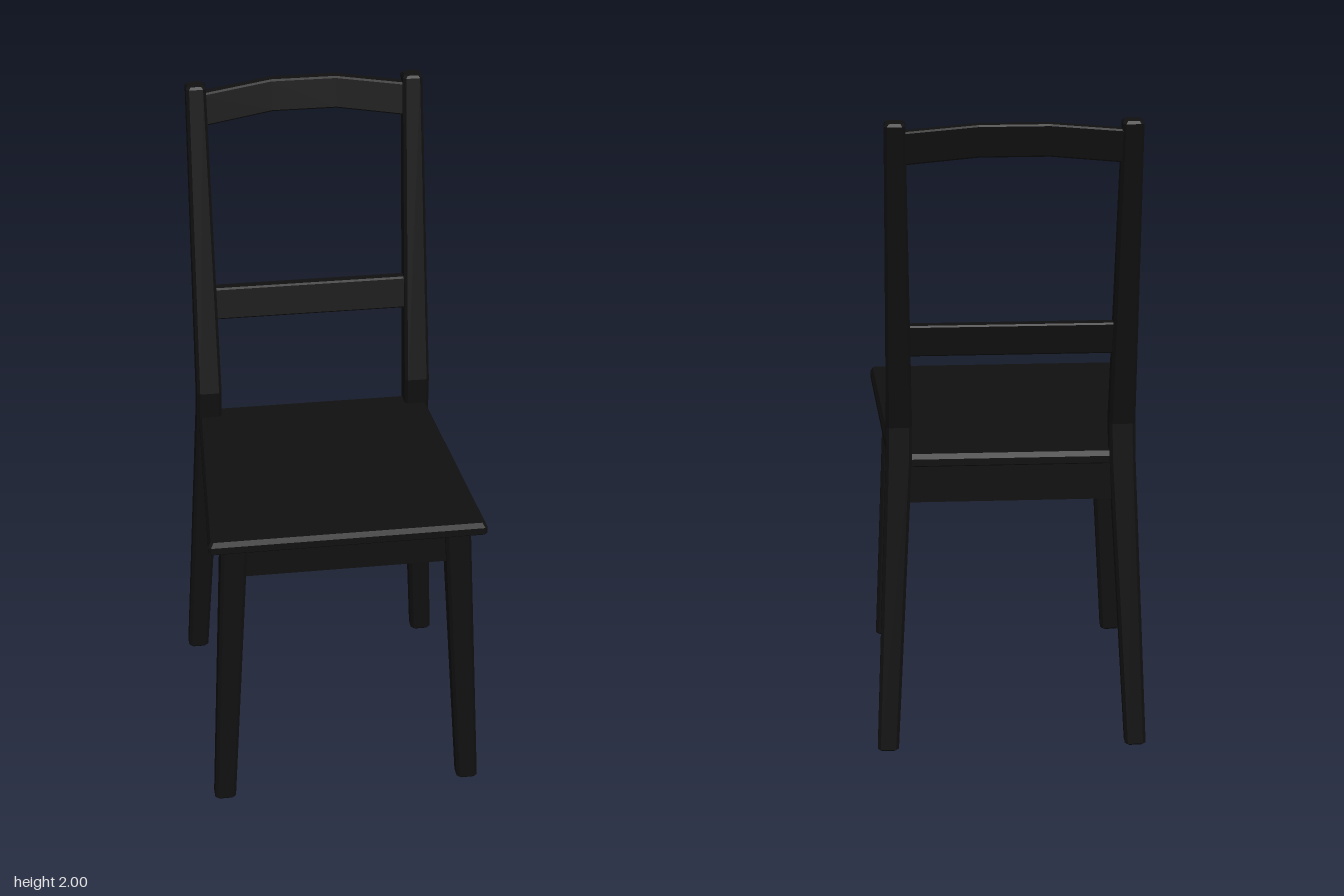
import * as THREE from 'three';

const V = (x, y, z) => new THREE.Vector3(x, y, z);
const wood = new THREE.MeshStandardMaterial({ color: 0x101010, flatShading: true });

// Cuts the corners of a four-sided ring
function chamfer(ring, c) {
  const towards = (p, q) => p.clone().add(q.clone().sub(p).setLength(c));
  return ring.flatMap((p, i) => [towards(p, ring[(i + 3) % 4]), towards(p, ring[(i + 1) % 4])]);
}

// Skins a row of rings and caps both ends
function loft(name, rings) {
  const n = rings[0].length, pos = [];
  const tri = (...pts) => pts.forEach((p) => pos.push(p.x, p.y, p.z));
  for (let r = 0; r < rings.length - 1; r++) {
    const a = rings[r], b = rings[r + 1];
    for (let i = 0; i < n; i++) {
      const j = (i + 1) % n;
      tri(a[i], a[j], b[j]);
      tri(a[i], b[j], b[i]);
    }
  }
  const first = rings[0], last = rings[rings.length - 1];
  for (let i = 1; i < n - 1; i++) {
    tri(first[0], first[i + 1], first[i]);
    tri(last[0], last[i], last[i + 1]);
  }
  const geo = new THREE.BufferGeometry();
  geo.setAttribute('position', new THREE.Float32BufferAttribute(pos, 3));
  geo.computeVertexNormals();
  const mesh = new THREE.Mesh(geo, wood);
  mesh.name = name;
  return mesh;
}

// Upright post from sections [y, xInner, xOuter, zBack, zFront], side = +1 or -1
function post(name, side, sections) {
  return loft(name, sections.map(([y, xi, xo, zb, zf]) => {
    const x0 = Math.min(side * xi, side * xo), x1 = Math.max(side * xi, side * xo);
    return chamfer([V(x0, y, zf), V(x1, y, zf), V(x1, y, zb), V(x0, y, zb)], 0.009);
  }));
}

// Upright slab over a plan of four [x, z] corners: front-right, front-left, back-left, back-right
function slab(name, plan, y0, y1) {
  return loft(name, [y0, y1].map((y) => plan.map(([x, z]) => V(x, y, z))));
}

// Crosswise rail from stations [x, yBottom, yTop, zBottom, zTop] (z of its middle), with thickness t
function rail(name, stations, t) {
  return loft(name, stations.map(([x, yb, yt, zb, zt]) => chamfer([
    V(x, yt, zt - t / 2), V(x, yt, zt + t / 2), V(x, yb, zb + t / 2), V(x, yb, zb - t / 2),
  ], 0.005)));
}

export function createModel() {
  const chair = new THREE.Group();
  chair.name = 'chair';

  for (const side of [1, -1]) {
    const label = side > 0 ? 'left' : 'right';

    // Splayed, tapered front leg
    chair.add(post(label + 'FrontLeg', side, [
      [0, 0.355, 0.41, 0.44, 0.485],
      [0.006, 0.35, 0.415, 0.435, 0.49],
      [0.91, 0.297, 0.375, 0.385, 0.465],
    ]));

    // Back leg, bent above the seat and carrying on as the backrest post
    chair.add(post(label + 'BackLeg', side, [
      [0, 0.355, 0.41, -0.405, -0.36],
      [0.006, 0.35, 0.415, -0.41, -0.355],
      [0.93, 0.297, 0.375, -0.335, -0.262],
      [1.035, 0.295, 0.373, -0.328, -0.25],
      [1.992, 0.305, 0.366, -0.49, -0.431],
      [2, 0.31, 0.361, -0.485, -0.436],
    ]));

    // Side apron
    const plan = [[0.325, 0.42], [0.36, 0.42], [0.348, -0.3], [0.313, -0.3]];
    chair.add(slab(label + 'Apron',
      side > 0 ? plan : plan.map(([x, z]) => [-x, z]).reverse().map((p, i, a) => a[(i + 2) % 4]),
      0.79, 0.91));
  }

  // Tapered seat with an eased upper edge
  chair.add(loft('seat', [[0.905, 0.004], [0.909, 0], [0.93, 0], [0.945, 0.008]].map(([y, d]) => chamfer([
    V(-0.418 + d, y, 0.5 - d), V(0.418 - d, y, 0.5 - d),
    V(0.365 - d, y, -0.32 + d), V(-0.365 + d, y, -0.32 + d),
  ], 0.008))));

  // Front and back aprons
  const cross = (w, z0, z1) => [[-w, z1], [w, z1], [w, z0], [-w, z0]];
  chair.add(slab('frontApron', cross(0.32, 0.41, 0.445), 0.79, 0.91));
  chair.add(slab('backApron', cross(0.32, -0.315, -0.28), 0.79, 0.91));

  // Straight middle rail, leaning with the posts
  chair.add(rail('middleRail', [-0.31, 0.31].map((x) => [x, 1.265, 1.365, -0.329, -0.347]), 0.036));

  // Top rail, bowed backwards and upwards
  chair.add(rail('topRail', [-0.32, -0.1, 0.1, 0.32].map((x) => (Math.abs(x) > 0.2
    ? [x, 1.873, 1.973, -0.443, -0.46]
    : [x, 1.9, 1.998, -0.469, -0.486])), 0.037));

  return chair;
}
